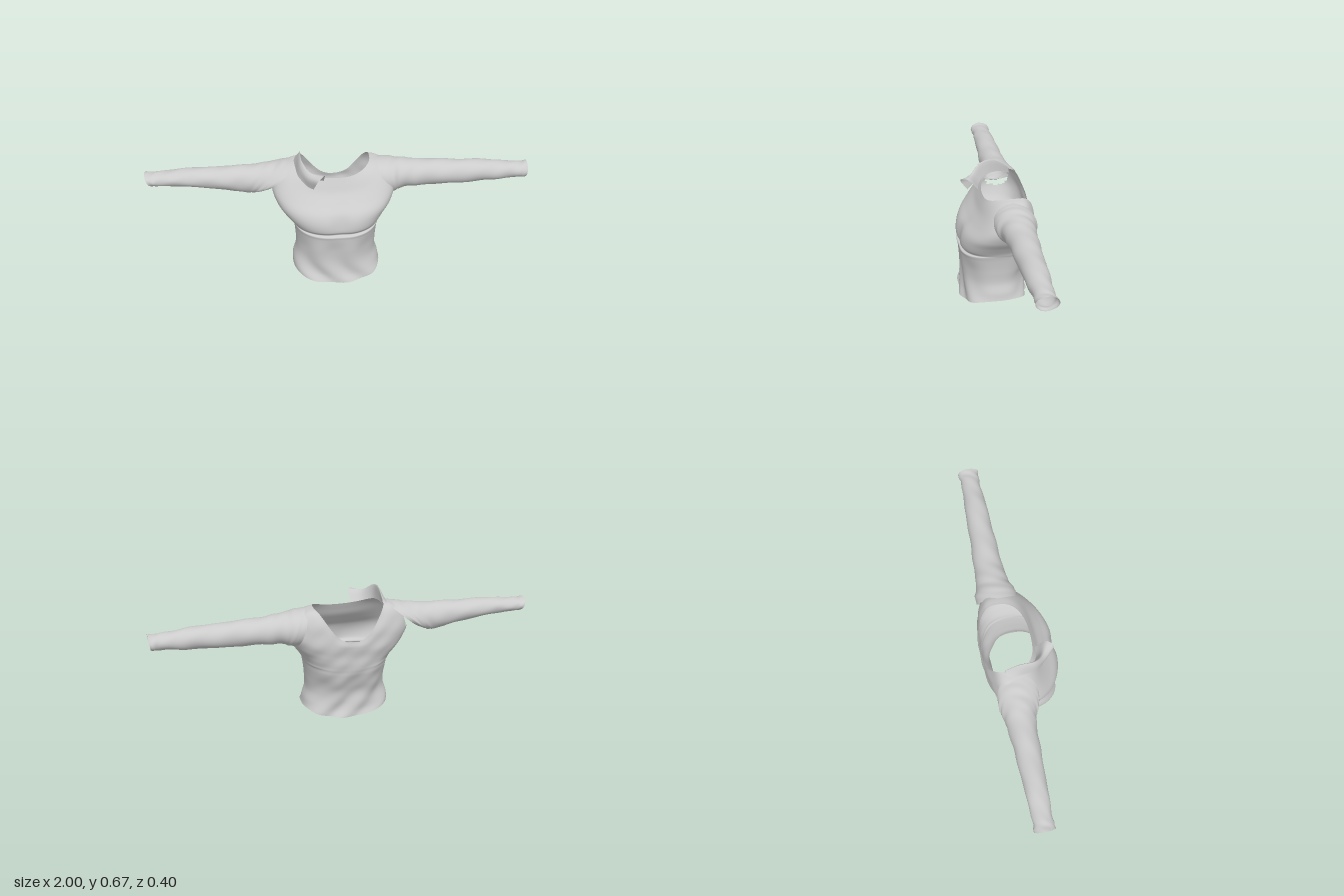
import * as THREE from 'three';

const material = new THREE.MeshStandardMaterial({ color: 0xcccccc, side: THREE.DoubleSide });
const V = (x, y, z) => new THREE.Vector3(x, y, z);
const bend = (v, p) => Math.sign(v) * Math.abs(v) ** p;

// Smooth surface through a list of rings (or open strips) of points
function loft(name, rings, { steps = 40, closed = true, deform = null, skip = null } = {}) {
  const n = rings[0].length;
  const curves = rings[0].map((_, i) => new THREE.CatmullRomCurve3(rings.map(r => r[i])));
  const pts = [], index = [];
  for (let j = 0; j <= steps; j++) {
    for (let i = 0; i < n; i++) {
      const p = curves[i].getPoint(j / steps);
      if (deform) deform(p, (i / n) * Math.PI * 2, j / steps);
      pts.push(p);
    }
  }
  for (let j = 0; j < steps; j++) {
    for (let i = 0; i < (closed ? n : n - 1); i++) {
      const a = j * n + i, b = j * n + (i + 1) % n, c = a + n, d = b + n;
      if (skip && skip(pts[a].clone().add(pts[d]).multiplyScalar(0.5))) continue;
      index.push(a, b, d, a, d, c);
    }
  }
  const g = new THREE.BufferGeometry().setFromPoints(pts);
  g.setIndex(index);
  g.computeVertexNormals();
  const mesh = new THREE.Mesh(g, material);
  mesh.name = name;
  return mesh;
}

// Torso ring: widths, depths, and separate heights at front, side and back
function torsoRing([xr, xl, zf, zb, yf, ys, yb], n = 96) {
  const ring = [], cx = (xr + xl) / 2, w = (xl - xr) / 2, cz = (zf + zb) / 2 - 0.01;
  for (let i = 0; i < n; i++) {
    const a = (i / n) * Math.PI * 2, c = Math.cos(a), s = Math.sin(a);
    const k = c > 0 ? c * c : Math.abs(c) ** 3;
    ring.push(V(cx + w * bend(s, 0.8),
      ys + ((c > 0 ? yf : yb) - ys) * k,
      cz + (c > 0 ? zf - cz : cz - zb) * bend(c, 0.8)));
  }
  return ring;
}

function buildTorso() {
  const rows = [
    [-0.25, 0.22, 0.197, -0.155, 0.005, 0.05, 0.012],
    [-0.24, 0.21, 0.185, -0.148, 0.05, 0.085, 0.05],
    [-0.23, 0.19, 0.18, -0.143, 0.12, 0.14, 0.12],
    [-0.23, 0.19, 0.185, -0.16, 0.2, 0.21, 0.2],
    [-0.235, 0.2, 0.195, -0.182, 0.27, 0.28, 0.26],
    [-0.24, 0.205, 0.198, -0.185, 0.287, 0.305, 0.28],
    [-0.245, 0.208, 0.185, -0.186, 0.295, 0.313, 0.29],
    [-0.255, 0.215, 0.198, -0.187, 0.315, 0.33, 0.305],
    [-0.29, 0.24, 0.198, -0.19, 0.36, 0.37, 0.335],
    [-0.325, 0.275, 0.18, -0.192, 0.405, 0.42, 0.365],
    [-0.345, 0.295, 0.138, -0.194, 0.45, 0.49, 0.39],
    [-0.31, 0.265, 0.1, -0.196, 0.495, 0.57, 0.41],
    [-0.25, 0.21, 0.08, -0.198, 0.535, 0.605, 0.43],
    [-0.2, 0.165, 0.065, -0.195, 0.567, 0.615, 0.45],
  ];
  return loft('torso', rows.map(r => torsoRing(r)), {
    steps: 104,
    // Diagonal drape folds below the bust, soft bust lobes, faint back wrinkles
    deform: (p, a) => {
      const front = Math.max(0, Math.cos(a));
      const low = THREE.MathUtils.smoothstep(0.29 - p.y, 0, 0.1);
      const fold = 0.006 * low * Math.sin(p.x * 38 + p.y * 26 + 2 * Math.sin(p.y * 14));
      const bust = Math.exp(-(((p.y - 0.36) / 0.07) ** 2)) * front;
      const back = 0.003 * Math.max(0, -Math.cos(a)) * Math.sin(p.y * 60 + p.x * 22) * Math.sin(p.x * 30);
      p.x += fold * Math.sin(a);
      p.z += fold * Math.cos(a) - bust * 0.014 * Math.exp(-((p.x / 0.045) ** 2)) - back;
    },
    // Armholes inside the sleeves
    skip: p => Math.abs(p.x) > 0.2 && ((p.y - 0.515) / 0.06) ** 2 + ((p.z + 0.06) / 0.065) ** 2 < 1,
  });
}

// Sleeve stations: x, top, bottom, front z, back z, and slant (bottom shifted along x)
function buildSleeve(name, stations) {
  const rings = stations.map(([x, top, bottom, zf, zb, slant = 0]) => {
    const ring = [];
    for (let i = 0; i < 40; i++) {
      const a = (i / 40) * Math.PI * 2, c = Math.cos(a);
      ring.push(V(x + slant * (1 - c) / 2,
        (top + bottom) / 2 + (top - bottom) / 2 * c,
        (zf + zb) / 2 + (zf - zb) / 2 * Math.sin(a) * Math.sign(x)));
    }
    return ring;
  });
  return loft(name, rings, {
    steps: 70,
    deform: (p, a, t) => {
      const r = 0.0025 * Math.sin(t * 46 + 2 * Math.sin(a)) * Math.sin(a * 2 + t * 9) * Math.min(1, t * 4);
      p.y += r * Math.cos(a);
      p.z += r * Math.sin(a);
    },
  });
}

export function createModel() {
  const shirt = new THREE.Group();
  shirt.name = 'longSleevedTop';
  shirt.add(buildTorso());

  shirt.add(buildSleeve('leftSleeve', [
    [0.2, 0.608, 0.42, 0.05, -0.165, 0.06],
    [0.25, 0.606, 0.425, 0.045, -0.165, 0.05],
    [0.32, 0.596, 0.435, 0.025, -0.15],
    [0.42, 0.585, 0.445, 0.012, -0.14],
    [0.6, 0.577, 0.45, 0.005, -0.128],
    [0.8, 0.568, 0.46, -0.002, -0.118],
    [0.94, 0.553, 0.472, -0.01, -0.108],
    [1, 0.553, 0.475, -0.005, -0.115, -0.01],
  ]));
  // The right sleeve is open under the arm, so its inner end is slanted
  shirt.add(buildSleeve('rightSleeve', [
    [-0.22, 0.61, 0.46, 0.045, -0.165, -0.18],
    [-0.27, 0.604, 0.445, 0.035, -0.165, -0.16],
    [-0.34, 0.594, 0.435, 0.015, -0.155, -0.11],
    [-0.43, 0.583, 0.433, 0.002, -0.147, -0.05],
    [-0.6, 0.575, 0.455, -0.008, -0.137],
    [-0.8, 0.57, 0.48, -0.018, -0.13],
    [-0.94, 0.556, 0.487, -0.025, -0.125],
    [-1, 0.556, 0.49, -0.022, -0.13, 0.03],
  ]));

  // Collar flap turned outwards over the right shoulder, curling at the front
  const flap = [
    [V(-0.2, 0.59, -0.11), V(-0.195, 0.635, -0.1), V(-0.21, 0.62, -0.1), V(-0.24, 0.595, -0.09)],
    [V(-0.195, 0.605, -0.04), V(-0.195, 0.675, -0.03), V(-0.208, 0.655, -0.02), V(-0.225, 0.605, -0.02)],
    [V(-0.18, 0.59, 0.03), V(-0.19, 0.665, 0.045), V(-0.202, 0.64, 0.05), V(-0.21, 0.58, 0.05)],
    [V(-0.14, 0.565, 0.065), V(-0.15, 0.625, 0.095), V(-0.168, 0.6, 0.105), V(-0.165, 0.545, 0.1)],
    [V(-0.08, 0.56, 0.075), V(-0.08, 0.62, 0.13), V(-0.11, 0.61, 0.165), V(-0.135, 0.54, 0.125)],
  ];
  const strips = flap.map(row => new THREE.CatmullRomCurve3(row).getPoints(12));
  shirt.add(loft('collarFlap', strips, { steps: 24, closed: false }));
  return shirt;
}
